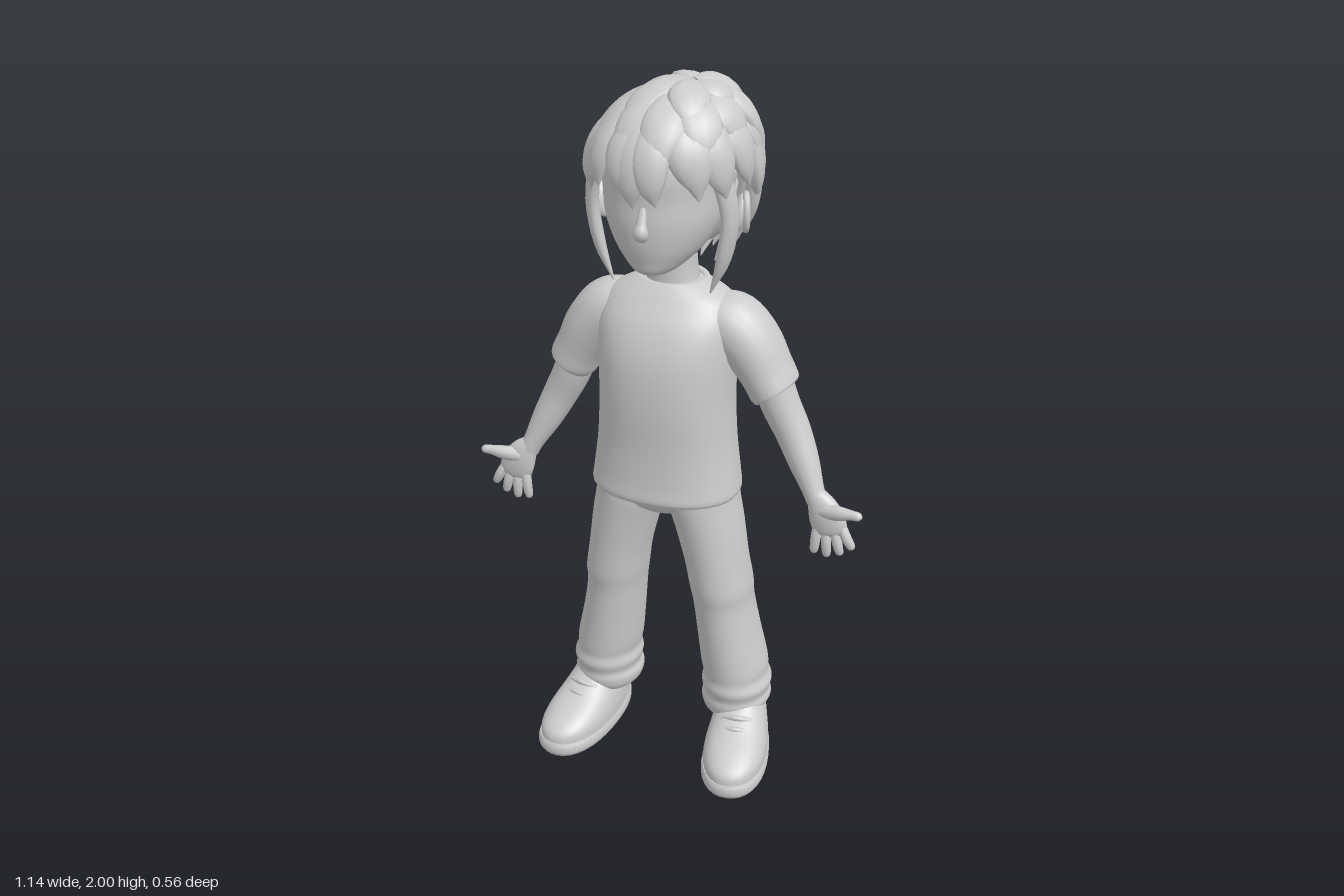
import * as THREE from 'three';

const V3 = (x, y, z) => new THREE.Vector3(x, y, z);
const clay = new THREE.MeshStandardMaterial({ color: 0xcccccc });
clay.name = 'clay grey';

// Sweeps an oval along stations [x, y, z, a, b]: a is the half width, b the half depth toward ref(point).
// flat keeps every ring level; power below 1 squares the oval off.
function sweep(stations, { ref = () => V3(0, 0, 1), flat = false, power = 1, steps = 4, sides = 20 } = {}) {
  const path = new THREE.CatmullRomCurve3(stations.map(s => V3(s[0], s[1], s[2])), false, 'catmullrom');
  const size = new THREE.CatmullRomCurve3(stations.map(s => V3(s[3], s[4], 0)), false, 'catmullrom');
  const count = (stations.length - 1) * steps;
  const pos = [], index = [];
  const bend = v => Math.sign(v) * Math.abs(v) ** power;
  const dir = V3(0, Math.sign(stations.at(-1)[1] - stations[0][1]), 0);
  for (let i = 0; i <= count; i++) {
    const c = path.getPoint(i / count), r = size.getPoint(i / count);
    const t = flat ? dir : path.getTangent(i / count);
    const v = ref(c);
    v.addScaledVector(t, -v.dot(t)).normalize();
    const u = v.clone().cross(t);
    for (let j = 0; j < sides; j++) {
      const q = j / sides * Math.PI * 2;
      const p = c.clone().addScaledVector(u, bend(Math.cos(q)) * Math.max(r.x, 0.001))
        .addScaledVector(v, bend(Math.sin(q)) * Math.max(r.y, 0.001));
      pos.push(p.x, p.y, p.z);
      if (i < count) {
        const a = i * sides + j, b = i * sides + (j + 1) % sides;
        index.push(a, b, b + sides, a, b + sides, a + sides);
      }
    }
  }
  // End caps use their own corners so that rims stay crisp
  for (const end of [0, count]) {
    const base = pos.length / 3;
    pos.push(...pos.slice(end * sides * 3, (end + 1) * sides * 3), ...path.getPoint(end / count).toArray());
    for (let j = 0; j < sides; j++) {
      const a = base + j, b = base + (j + 1) % sides;
      index.push(base + sides, ...(end ? [a, b] : [b, a]));
    }
  }
  const g = new THREE.BufferGeometry();
  g.setAttribute('position', new THREE.Float32BufferAttribute(pos, 3));
  g.setIndex(index);
  g.computeVertexNormals();
  return g;
}

function add(parent, name, geometry) {
  const m = new THREE.Mesh(geometry, clay);
  m.name = name;
  parent.add(m);
  return m;
}

function ball(parent, name, p, s) {
  const m = add(parent, name, new THREE.SphereGeometry(1, 24, 16));
  m.position.set(...p);
  m.scale.set(...s);
  return m;
}

// Level stack of [y, x, z, half width, half depth]
const stack = (rows, power = 1) =>
  sweep(rows.map(([y, x, z, a, b]) => [x, y, z, a, b]), { flat: true, power, sides: 36 });

// Point on the hair shell: az turns from the front, s = 0 crown, 1 widest level, above 1 hangs down
const hairCentre = V3(0.005, 1.76, -0.025);
function shell(az, s, k) {
  const phi = Math.min(s, 1) * Math.PI / 2, drop = Math.max(s - 1, 0);
  const r = Math.sin(phi) * k * (1 - 0.33 * drop * drop);
  return [
    hairCentre.x + 0.205 * r * Math.sin(az) + 0.05 * Math.cos(phi) ** 2,
    hairCentre.y + 0.21 * k * Math.cos(phi) - 0.25 * drop,
    hairCentre.z + 0.235 * r * Math.cos(az)];
}
const outward = p => V3(p.x - hairCentre.x, Math.max(p.y - hairCentre.y, 0), p.z - hairCentre.z);

function lock(parent, az, s0, s1, k, width, twist = 0.25) {
  const profile = [0.45, 0.85, 1, 0.72, 0.04];
  const pts = profile.map((w, i) => {
    const t = i / 4;
    return [...shell(az + twist * t, s0 + (s1 - s0) * t, k + 0.04 * t * t), width * w, 0.024 * w];
  });
  add(parent, 'hairLock', sweep(pts, { ref: outward, sides: 12 }));
}

function buildHair(parent) {
  const hair = new THREE.Group();
  hair.name = 'hair';
  parent.add(hair);
  const cap = add(hair, 'hairCap', new THREE.SphereGeometry(1, 32, 16, 0, Math.PI * 2, 0, Math.PI / 2));
  cap.geometry.scale(0.2, 0.215, 0.228);
  cap.position.copy(hairCentre);
  cap.rotation.x = -0.33;
  ball(hair, 'napeHair', [0, 1.67, -0.105], [0.155, 0.14, 0.105]);
  // Rows of locks: count, first and last angle, start, end, shell scale, width
  const rows = [
    [10, 2.0, 4.28, 0.9, 2.06, 0.9, 0.036],
    [11, 1.9, 4.38, 0.75, 1.72, 0.97, 0.04],
    [11, 1.75, 4.53, 0.5, 1.4, 1.01, 0.044],
    [15, -1.6, 4.26, 0.4, 1.07, 1.01, 0.05],
    [11, 0.1, 5.85, 0.16, 0.84, 1.02, 0.058],
    [6, 0.4, 5.6, 0.02, 0.5, 1.04, 0.055]];
  rows.forEach(([n, a0, a1, s0, s1, k, w], r) => {
    for (let i = 0; i < n; i++) {
      const wave = Math.sin(i * 2.4 + r * 1.7);
      lock(hair, a0 + (a1 - a0) * i / (n - 1) - 0.12, s0, s1 + 0.07 * wave, k + 0.012 * wave, w);
    }
  });
  // Long swept fringe locks
  lock(hair, -0.2, 0.35, 1.17, 1.0, 0.05, 0.12);
  lock(hair, 0.55, 0.3, 1.1, 1.0, 0.05, 0.15);
  lock(hair, -0.85, 0.3, 1.15, 1.0, 0.05, -0.1);
  for (const s of [-1, 1]) {
    add(hair, 'sideLock', sweep([
      [s * 0.165, 1.8, 0.085, 0.03, 0.018], [s * 0.188, 1.68, 0.065, 0.028, 0.018],
      [s * 0.172, 1.56, 0.058, 0.024, 0.016], [s * 0.135, 1.46, 0.055, 0.002, 0.002]],
    { ref: outward, sides: 12 }));
  }
}

function buildHead(parent) {
  add(parent, 'neck', stack([
    [1.4, 0, -0.03, 0.085, 0.08], [1.46, 0, -0.03, 0.073, 0.072],
    [1.53, 0, -0.025, 0.066, 0.07], [1.64, 0, -0.02, 0.07, 0.075]]));
  add(parent, 'head', stack([
    [1.517, 0, 0.11, 0.012, 0.02], [1.53, 0, 0.1, 0.052, 0.062], [1.56, 0, 0.073, 0.09, 0.1],
    [1.6, 0, 0.048, 0.124, 0.135], [1.66, 0, 0.02, 0.155, 0.168], [1.72, 0, 0, 0.168, 0.184],
    [1.8, 0, -0.012, 0.172, 0.195], [1.88, 0, -0.02, 0.145, 0.165], [1.94, 0, -0.02, 0.06, 0.07]]));
  add(parent, 'nose', sweep([
    [0, 1.71, 0.178, 0.01, 0.008], [0, 1.67, 0.192, 0.014, 0.012],
    [0, 1.645, 0.196, 0.02, 0.018], [0, 1.625, 0.18, 0.008, 0.006]]));
  for (const s of [-1, 1]) {
    const ear = ball(parent, 'ear', [s * 0.188, 1.662, -0.012], [0.018, 0.052, 0.034]);
    ear.rotation.set(-0.15, s * 0.4, -s * 0.15);
    const rim = add(parent, 'earRim', new THREE.TorusGeometry(0.036, 0.009, 8, 24));
    rim.position.set(s * 0.204, 1.665, -0.016);
    rim.rotation.set(0, Math.PI / 2 + s * 0.4, 0);
    rim.scale.set(0.8, 1.25, 1);
  }
}

function buildShirt(parent) {
  add(parent, 'shirt', stack([
    [0.86, 0, 0.014, 0.208, 0.152], [0.875, 0, 0.014, 0.213, 0.157], [0.92, 0, 0.012, 0.207, 0.155],
    [1.02, 0, 0.01, 0.194, 0.155], [1.15, 0, 0.01, 0.187, 0.16], [1.27, 0, 0.003, 0.192, 0.158],
    [1.36, 0, -0.008, 0.194, 0.138], [1.42, 0, -0.02, 0.172, 0.108], [1.45, 0, -0.024, 0.125, 0.088],
    [1.465, 0, -0.026, 0.09, 0.076]], 0.88));
  const collar = add(parent, 'collar', new THREE.TorusGeometry(0.088, 0.011, 10, 40));
  collar.rotation.x = Math.PI / 2 + 0.22;
  collar.scale.set(1.1, 0.95, 1);
  collar.position.set(0, 1.45, -0.02);
}

function buildArm(parent, s) {
  const limb = (name, pts, o) => add(parent, name, sweep(pts.map(([x, ...r]) => [s * x, ...r]), o));
  limb('sleeve', [[0.11, 1.385, -0.02, 0.055, 0.08], [0.17, 1.355, -0.024, 0.085, 0.095],
    [0.225, 1.3, -0.027, 0.083, 0.096], [0.268, 1.23, -0.03, 0.072, 0.092], [0.292, 1.185, -0.03, 0.07, 0.09],
    [0.296, 1.178, -0.03, 0.064, 0.084]]);
  limb('arm', [[0.27, 1.24, -0.035, 0.055, 0.06], [0.305, 1.14, -0.037, 0.054, 0.057],
    [0.345, 1.06, -0.036, 0.05, 0.052], [0.385, 0.98, -0.02, 0.043, 0.044], [0.42, 0.91, 0, 0.031, 0.031],
    [0.435, 0.88, 0.006, 0.03, 0.028]]);
  limb('palm', [[0.427, 0.9, 0.003, 0.026, 0.026], [0.45, 0.87, 0.012, 0.042, 0.027],
    [0.468, 0.835, 0.016, 0.051, 0.025], [0.48, 0.8, 0.016, 0.047, 0.02], [0.483, 0.785, 0.016, 0.028, 0.01]]);
  limb('thumb', [[0.455, 0.862, 0.02, 0.022, 0.022], [0.5, 0.868, 0.034, 0.021, 0.02],
    [0.54, 0.874, 0.042, 0.014, 0.014], [0.562, 0.874, 0.044, 0.012, 0.012], [0.571, 0.873, 0.044, 0.003, 0.003]],
  { ref: () => V3(0, 0, 1), sides: 12 });
  // Four fingers: base x, base y, tip x, tip y
  for (const [x, y, u, v] of [[0.444, 0.815, 0.435, 0.722], [0.468, 0.805, 0.473, 0.717],
    [0.491, 0.808, 0.511, 0.73], [0.51, 0.818, 0.545, 0.755]]) {
    const at = (t, r) => [x + (u - x) * t, y + (v - y) * t, 0.016 + 0.006 * Math.sin(t * 3), r, r];
    limb('finger', [at(0, 0.014), at(0.4, 0.0145), at(0.75, 0.013), at(0.93, 0.01), at(1, 0.002)], { sides: 12 });
  }
}

function buildLeg(parent, s) {
  add(parent, 'trouserLeg', stack([
    [0.115, 0.2, -0.032, 0.07, 0.085], [0.135, 0.202, -0.032, 0.092, 0.108], [0.165, 0.206, -0.03, 0.103, 0.115],
    [0.19, 0.207, -0.027, 0.096, 0.11], [0.22, 0.207, -0.027, 0.103, 0.118], [0.25, 0.204, -0.027, 0.094, 0.113],
    [0.29, 0.199, -0.026, 0.097, 0.115], [0.4, 0.181, -0.02, 0.09, 0.114], [0.5, 0.167, -0.012, 0.086, 0.112],
    [0.56, 0.161, -0.004, 0.09, 0.114], [0.64, 0.148, 0.002, 0.09, 0.112], [0.75, 0.126, 0.004, 0.097, 0.117],
    [0.83, 0.107, 0.005, 0.102, 0.122], [0.9, 0.1, 0.006, 0.1, 0.12]].map(([y, x, ...r]) => [y, s * x, ...r])));
  // Shoe turned outward, with sole, upper, ankle and laces
  const shoe = new THREE.Group();
  shoe.name = 'shoe';
  shoe.position.set(s * 0.232, 0, 0);
  shoe.rotation.y = s * 0.17;
  parent.add(shoe);
  const toe = g => { // broader toward the toe
    const p = g.attributes.position;
    for (let i = 0; i < p.count; i++) p.setX(i, p.getX(i) * (0.92 + 0.7 * p.getZ(i)));
    g.computeVertexNormals();
    return g;
  };
  add(shoe, 'sole', toe(stack([[0, 0, 0.068, 0.092, 0.2], [0.012, 0, 0.068, 0.098, 0.206],
    [0.03, 0, 0.068, 0.098, 0.206], [0.042, 0, 0.067, 0.094, 0.202]], 0.9)));
  add(shoe, 'shoeUpper', toe(stack([[0.035, 0, 0.066, 0.094, 0.202], [0.07, 0, 0.063, 0.094, 0.196],
    [0.1, 0, 0.042, 0.089, 0.172], [0.13, 0, 0.01, 0.082, 0.134], [0.16, 0, -0.012, 0.073, 0.103],
    [0.19, 0, -0.025, 0.062, 0.08]], 0.94)));
  for (let i = 0; i < 3; i++) {
    const y = 0.118 + i * 0.02, z = 0.155 - i * 0.028;
    add(shoe, 'lace', sweep([[-0.045, y - 0.012, z - 0.015, 0.007, 0.007], [0, y, z, 0.008, 0.008],
      [0.045, y - 0.012, z - 0.015, 0.007, 0.007]], { sides: 8 }));
  }
}

export function createModel() {
  const model = new THREE.Group();
  model.name = 'standingChild';
  buildHead(model);
  buildHair(model);
  buildShirt(model);
  add(model, 'trouserSeat', stack([[0.785, 0, 0, 0.04, 0.06], [0.81, 0, 0.002, 0.13, 0.105],
    [0.85, 0, 0.005, 0.196, 0.122], [0.9, 0, 0.005, 0.198, 0.122]]));
  for (const s of [-1, 1]) {
    buildArm(model, s);
    buildLeg(model, s);
  }
  return model;
}
